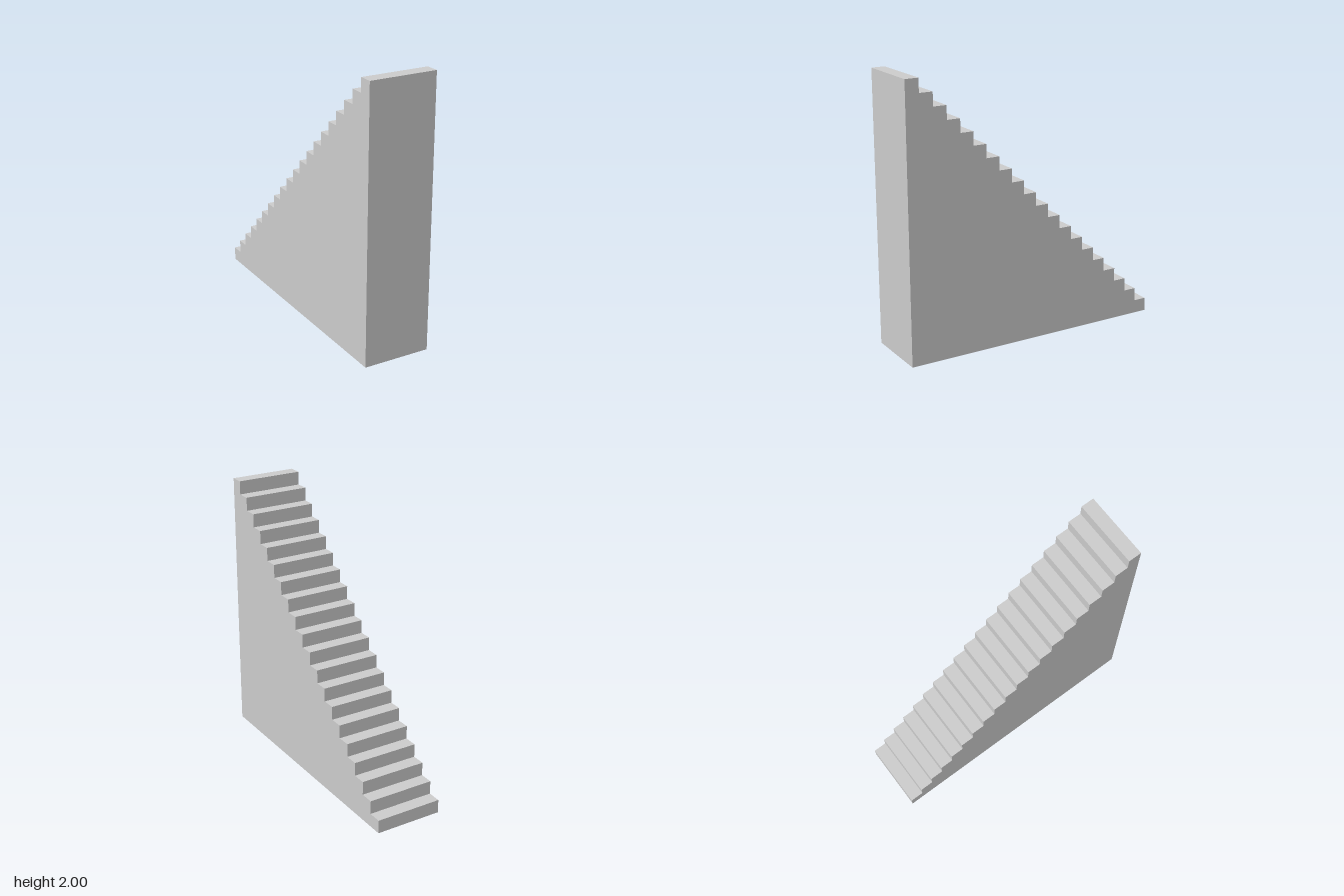
import * as THREE from 'three';

const STEPS = 20;
const STEP = 0.1; // rise and run of each step
const WIDTH = 0.5;

export function createModel() {
  const group = new THREE.Group();
  group.name = 'staircase';

  // Side profile: climbs from the back (z = -1) to the front (z = 1)
  const profile = new THREE.Shape();
  profile.moveTo(-1, 0);
  profile.lineTo(1, 0);
  for (let i = STEPS; i > 0; i--) {
    profile.lineTo(-1 + i * STEP, i * STEP);
    profile.lineTo(-1 + (i - 1) * STEP, i * STEP);
  }
  profile.closePath();

  // Solid flight of steps, extruded across its width
  const geometry = new THREE.ExtrudeGeometry(profile, { depth: WIDTH, bevelEnabled: false });
  geometry.translate(0, 0, -WIDTH / 2);
  geometry.rotateY(-Math.PI / 2);

  const material = new THREE.MeshStandardMaterial({ color: 0xcccccc, flatShading: true });
  const steps = new THREE.Mesh(geometry, material);
  steps.name = 'steps';
  group.add(steps);
  return group;
}
